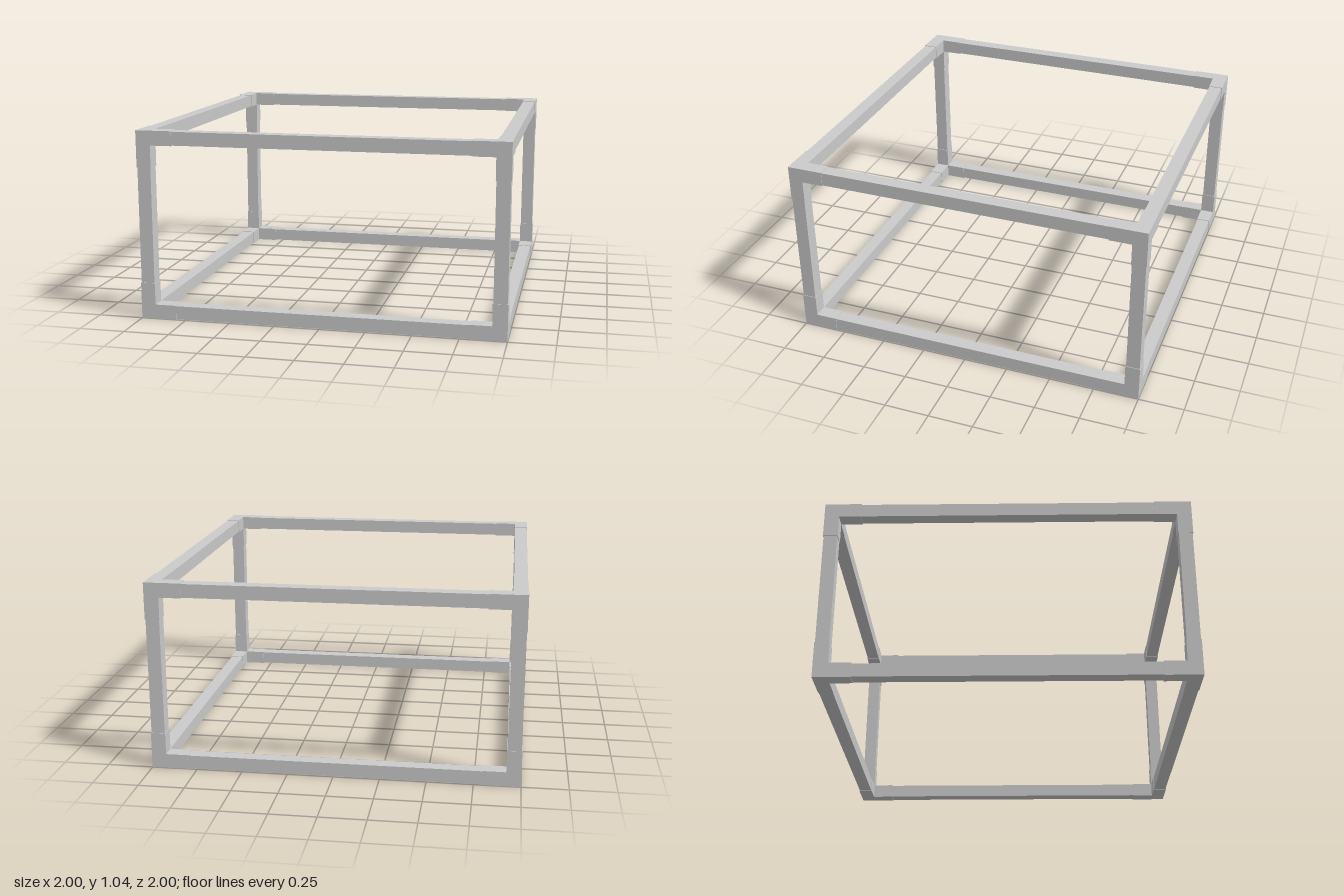
import * as THREE from 'three';

const W = 2, H = 1.04, D = 2; // overall size
const T = 0.08;               // corner joint thickness
const B = 0.074;              // bar thickness, slightly slimmer than the joints
const ARM = 0.2;              // joint length measured from the corner

export function createModel() {
  const model = new THREE.Group();
  const material = new THREE.MeshStandardMaterial({ color: 0xcccccc, flatShading: true });

  const box = (parent, name, size, position) => {
    const mesh = new THREE.Mesh(new THREE.BoxGeometry(...size), material);
    mesh.name = name;
    mesh.position.set(...position);
    parent.add(mesh);
  };

  const cx = (W - T) / 2, cz = (D - T) / 2; // bar centre lines
  const yLow = T / 2, yHigh = H - T / 2;
  const L = ARM - T;                        // arm length beyond the corner cube
  const signs = [-1, 1];

  // Eight three-way corner joints
  for (const sx of signs) for (const sy of signs) for (const sz of signs) {
    const joint = new THREE.Group();
    joint.name = 'cornerJoint';
    joint.position.set(sx * cx, sy > 0 ? yHigh : yLow, sz * cz);
    const off = (T + L) / 2;
    box(joint, 'jointCube', [T, T, T], [0, 0, 0]);
    box(joint, 'jointArmX', [L, T, T], [-sx * off, 0, 0]);
    box(joint, 'jointArmY', [T, L, T], [0, -sy * off, 0]);
    box(joint, 'jointArmZ', [T, T, L], [0, 0, -sz * off]);
    model.add(joint);
  }

  // Twelve bars spanning between the joints
  for (const a of signs) for (const b of signs) {
    const y = b > 0 ? yHigh : yLow;
    box(model, 'widthBar', [W - 2 * ARM, B, B], [0, y, a * cz]);
    box(model, 'depthBar', [B, B, D - 2 * ARM], [a * cx, y, 0]);
    box(model, 'uprightBar', [B, H - 2 * ARM, B], [a * cx, H / 2, b * cz]);
  }

  return model;
}
